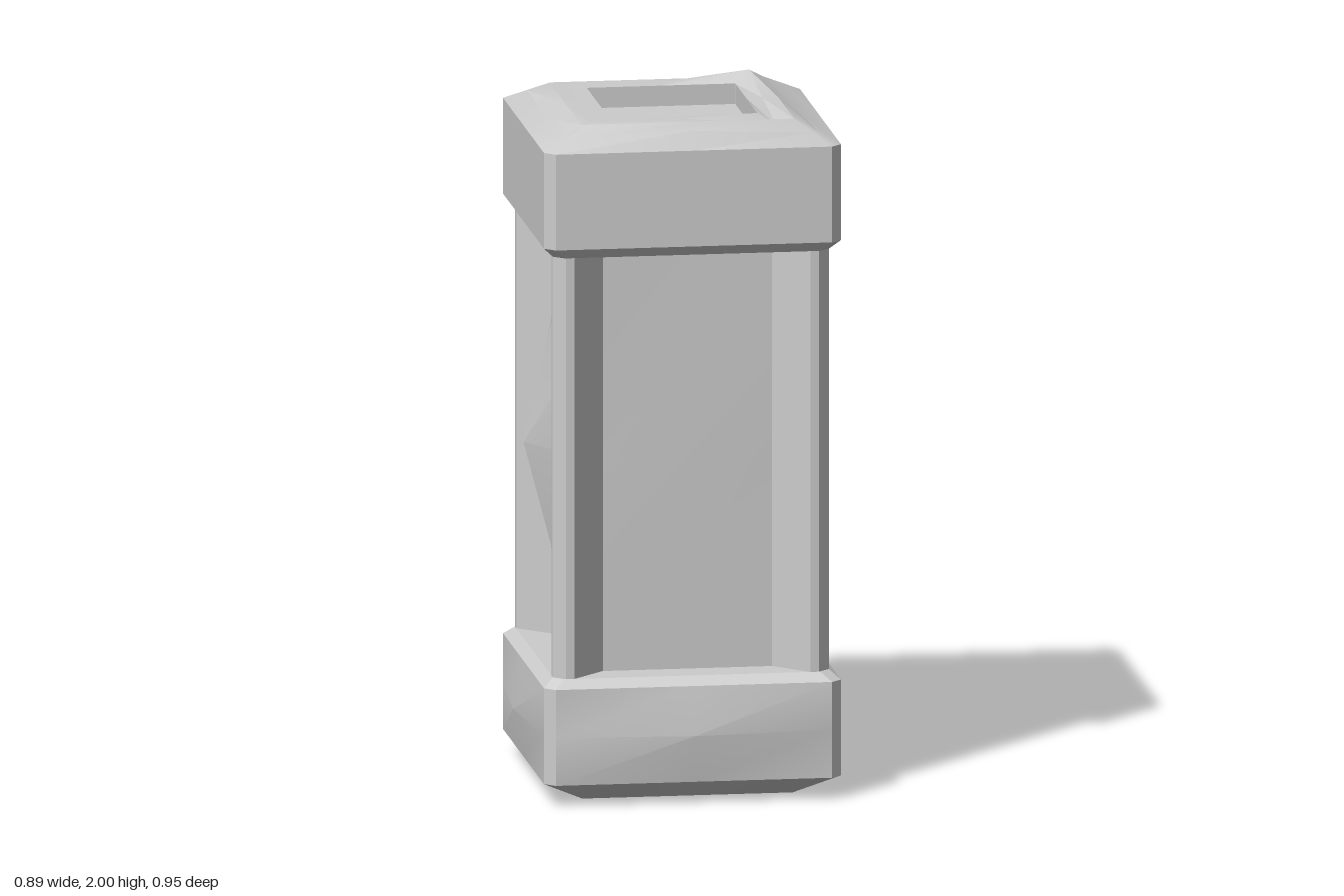
import * as THREE from 'three';
import { toCreasedNormals } from 'three/addons/utils/BufferGeometryUtils.js';

const material = new THREE.MeshStandardMaterial({ color: 0xcccccc });

// Lofts four-sided rings from the bottom up. Each ring is { y, side }, where side
// lists [along, out] points of one wall, repeated on all four walls.
// Walls: 0 = +x, 1 = -z, 2 = -x, 3 = +z.
// A dent moves one point: [ring, wall, point, outward, up, along].
function loft(name, rings, dents = []) {
  const n = rings[0].side.length;
  const count = n * 4;
  const positions = [];
  const index = [];
  rings.forEach(({ y, side }, r) => {
    for (let wall = 0; wall < 4; wall++) {
      const c = Math.cos(wall * Math.PI / 2), s = Math.sin(wall * Math.PI / 2);
      side.forEach(([along, out], p) => {
        let a = along, o = out, h = y;
        for (const d of dents) {
          if (d[0] === r && d[1] === wall && d[2] === p) {
            o += d[3];
            h += d[4];
            a += d[5] || 0;
          }
        }
        positions.push(c * o - s * a, h, -s * o - c * a);
      });
    }
  });
  for (let r = 0; r < rings.length - 1; r++) {
    for (let j = 0; j < count; j++) {
      const k = (j + 1) % count;
      const a = r * count + j, b = r * count + k;
      index.push(a, b, b + count, a, b + count, a + count);
    }
  }
  const geometry = new THREE.BufferGeometry();
  geometry.setAttribute('position', new THREE.Float32BufferAttribute(positions, 3));
  geometry.setIndex(index);
  const mesh = new THREE.Mesh(toCreasedNormals(geometry, 0.4), material);
  mesh.name = name;
  return mesh;
}

// Square ring with cut corners and a midpoint on every wall
const square = (half, y, cut = 0.001) => ({
  y, side: [[cut - half, half], [0, half], [half - cut, half]],
});

export function createModel() {
  const group = new THREE.Group();
  group.name = 'container';
  const model = new THREE.Group();
  model.name = 'containerParts';
  model.position.set(0.014, 0, 0.014);
  group.add(model);

  // Base with a square recess underneath and worn, bulging walls
  model.add(loft('baseCap', [
    square(0.002, 0.06), square(0.213, 0.06), square(0.213, 0),
    square(0.305, 0), square(0.43, 0.065, 0.03), square(0.43, 0.205, 0.03),
    square(0.43, 0.345, 0.03), square(0.4, 0.37, 0.03), square(0.28, 0.37, 0.03),
  ], [
    [5, 1, 1, 0.058, 0, -0.06],
    [5, 2, 1, 0.03, 0],
    [5, 3, 1, 0.032, 0],
  ]));

  // Corner posts and four inset panels, dented on the two side walls
  const bay = [
    [-0.366, 0.4], [-0.342, 0.4], [-0.245, 0.3], [0, 0.3],
    [0.245, 0.3], [0.342, 0.4], [0.366, 0.4],
  ];
  const levels = [0.365, 0.68, 0.985, 1.295, 1.605];
  model.add(loft('postsAndPanels', levels.map((y) => ({ y, side: bay })), [
    [1, 0, 3, -0.025, 0], [2, 0, 3, 0.03, 0], [3, 0, 3, 0.13, 0],
    [1, 2, 3, 0.05, 0], [2, 2, 3, 0.13, 0], [3, 2, 3, 0.06, 0],
    [2, 3, 3, 0.006, 0], [2, 1, 3, 0.006, 0],
  ]));

  // Top cap with bevelled rim, recess and chipped corners
  model.add(loft('topCap', [
    square(0.28, 1.6, 0.03), square(0.4, 1.6, 0.03), square(0.43, 1.63, 0.03),
    square(0.43, 1.775, 0.03), square(0.43, 1.91, 0.03), square(0.369, 1.94, 0.015),
    square(0.308, 1.97), square(0.262, 1.97), square(0.215, 1.97),
    square(0.215, 1.91), square(0.002, 1.91),
  ], [
    [3, 1, 1, 0.028, 0],
    [5, 3, 1, 0.03, 0.022],
    [5, 0, 1, -0.005, -0.008],
    [5, 2, 1, -0.01, -0.012],
    [7, 0, 2, 0, 0.03], [7, 1, 0, 0, 0.03],
    [7, 0, 0, 0, -0.025], [7, 3, 2, 0, -0.025],
  ]));

  return group;
}
